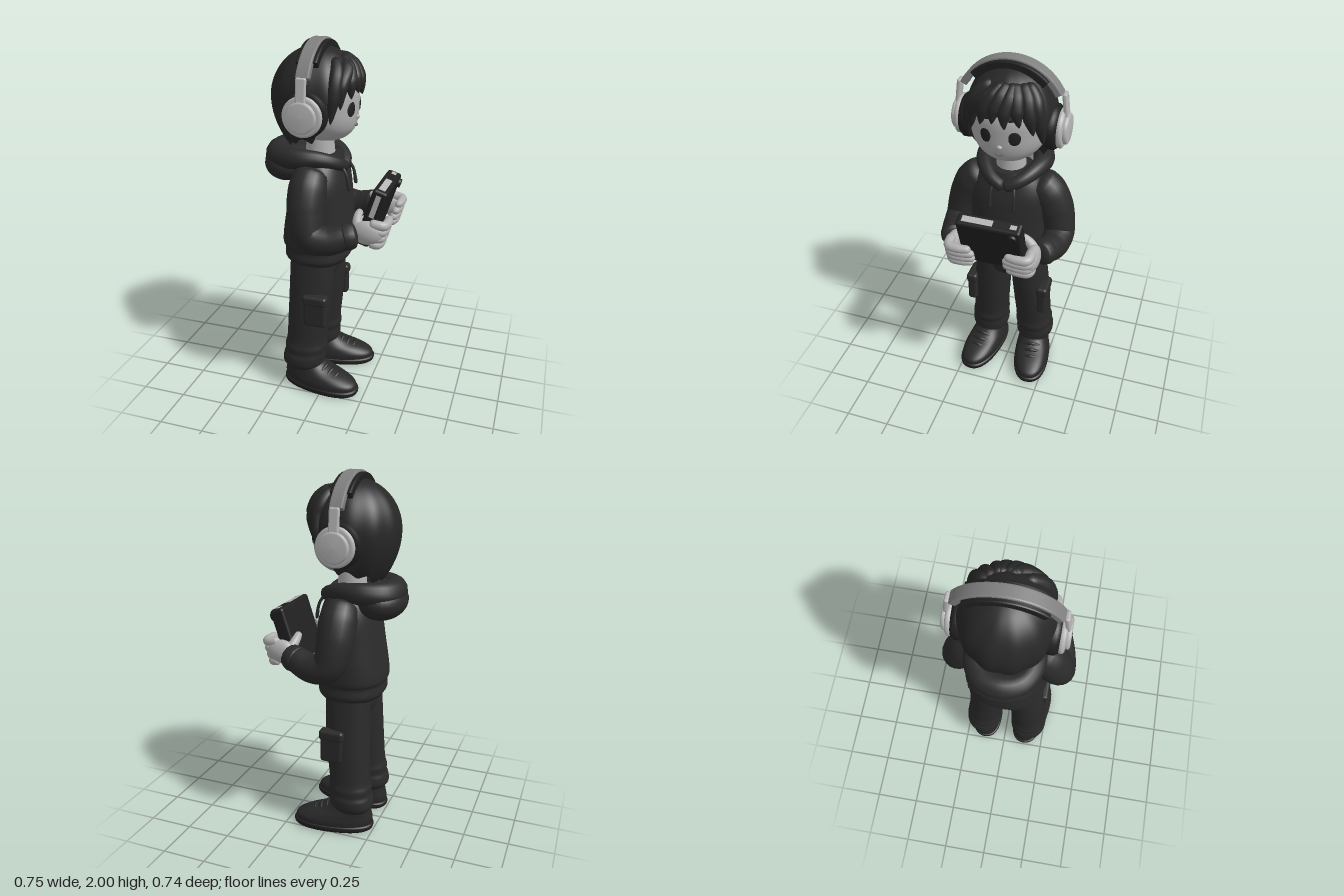
import * as THREE from 'three';
import { mergeVertices } from 'three/addons/utils/BufferGeometryUtils.js';
import { RoundedBoxGeometry } from 'three/addons/geometries/RoundedBoxGeometry.js';

const mat = (name, color) => Object.assign(new THREE.MeshStandardMaterial({ color }), { name });
const M = {
  skin: mat('skin', 0xb0b0b0), hair: mat('hair', 0x272727), hoodie: mat('hoodie', 0x2b2b2b),
  pants: mat('trousers', 0x2a2a2a), shoe: mat('shoes', 0x282828), black: mat('black', 0x202020),
  shell: mat('headphoneShell', 0xb6b6b6), band: mat('headband', 0x808080), lips: mat('lips', 0x6a6a6a),
};
const V = (p) => new THREE.Vector3(...p);
const lerpList = (a, t) => {
  const k = Math.min(t * (a.length - 1), a.length - 1.0001), i = Math.floor(k);
  return a[i] + (a[i + 1] - a[i]) * (k - i);
};
const smooth = THREE.MathUtils.smoothstep;

// Closed skin over rings: point(t, angle) gives each vertex, bottom to top
function skinOver(point, rows, cols, bottom, top) {
  const pos = [], idx = [];
  for (let i = 0; i <= rows; i++)
    for (let j = 0; j < cols; j++) pos.push(...point(i / rows, (j / cols) * Math.PI * 2));
  for (let i = 0; i < rows; i++)
    for (let j = 0; j < cols; j++) {
      const a = i * cols + j, b = i * cols + (j + 1) % cols;
      idx.push(a, a + cols, b, b, a + cols, b + cols);
    }
  const n = pos.length / 3, last = rows * cols;
  pos.push(...bottom, ...top);
  for (let j = 0; j < cols; j++) {
    const k = (j + 1) % cols;
    idx.push(n, j, k, n + 1, last + k, last + j);
  }
  const g = new THREE.BufferGeometry();
  g.setAttribute('position', new THREE.Float32BufferAttribute(pos, 3));
  g.setIndex(idx);
  g.computeVertexNormals();
  return g;
}

// Rings of [y, centreX, radiusX, centreZ, radiusZ], smoothly joined
function loft(rings, power = 1) {
  const at = (t) => {
    const k = Math.min(t * (rings.length - 1), rings.length - 1.0001), i = Math.floor(k), f = k - i;
    const get = (j) => rings[Math.max(0, Math.min(rings.length - 1, j))];
    return rings[0].map((_, c) => {
      const [p, q, r, s] = [get(i - 1)[c], get(i)[c], get(i + 1)[c], get(i + 2)[c]];
      return q + 0.5 * f * (r - p + f * (2 * p - 5 * q + 4 * r - s + f * (3 * (q - r) + s - p)));
    });
  };
  const pw = (v) => Math.sign(v) * Math.abs(v) ** power;
  const [b, e] = [rings[0], rings[rings.length - 1]];
  return skinOver((t, a) => {
    const [y, cx, rx, cz, rz] = at(t);
    return [cx + rx * pw(Math.cos(a)), y, cz + rz * pw(Math.sin(a))];
  }, (rings.length - 1) * 5, 48, [b[1], b[0], b[3]], [e[1], e[0], e[3]]);
}

// Round-ended tube whose radius follows a list
function taper(points, radii, { n = 28, sides = 14, end = 0.12 } = {}) {
  const curve = new THREE.CatmullRomCurve3(points.map(V));
  let g = new THREE.TubeGeometry(curve, n, 1, sides);
  const p = g.attributes.position, v = new THREE.Vector3();
  for (let i = 0; i <= n; i++) {
    const t = i / n, c = curve.getPointAt(t), d = Math.max(0, 1 - t / end, 1 - (1 - t) / end);
    const r = Math.max(1e-4, lerpList(radii, t) * Math.sqrt(1 - d * d));
    for (let j = 0; j <= sides; j++) {
      const k = i * (sides + 1) + j;
      v.fromBufferAttribute(p, k).sub(c).multiplyScalar(r).add(c);
      p.setXYZ(k, v.x, v.y, v.z);
    }
  }
  g.deleteAttribute('uv');
  g.deleteAttribute('normal');
  g = mergeVertices(g, 1e-5);
  g.computeVertexNormals();
  return g;
}

// Arch over the head, extruded along x
function arch(rz, ry, thick, width, spread) {
  const s = new THREE.Shape();
  s.absellipse(0, 0, rz, ry, Math.PI / 2 - spread, Math.PI / 2 + spread, false);
  s.absellipse(0, 0, rz - thick, ry - thick, Math.PI / 2 + spread, Math.PI / 2 - spread, true);
  const g = new THREE.ExtrudeGeometry(s, { depth: width - 0.016, bevelSize: 0.006, bevelThickness: 0.008, bevelSegments: 2, curveSegments: 40 });
  return g.translate(0, 0, -(width - 0.016) / 2).rotateY(Math.PI / 2);
}

export function createModel() {
  const root = new THREE.Group();
  const add = (name, g, m, pos = [0, 0, 0], parent = root) => {
    const mesh = new THREE.Mesh(g, m);
    mesh.name = name;
    mesh.position.set(...pos);
    parent.add(mesh);
    return mesh;
  };
  const ball = (name, m, pos, size) => {
    const b = add(name, new THREE.SphereGeometry(1, 32, 20), m, pos);
    b.scale.set(...size);
    return b;
  };

  // Head and neck
  add('face', loft([[1.475, -0.03, 0.04, 0, 0.05], [1.49, -0.03, 0.1, 0, 0.1], [1.53, -0.03, 0.145, 0, 0.15],
    [1.58, -0.03, 0.164, 0, 0.184], [1.65, -0.03, 0.17, 0, 0.2], [1.75, -0.03, 0.168, 0, 0.2], [1.85, -0.03, 0.12, 0, 0.14]]), M.skin);
  add('neck', new THREE.CylinderGeometry(0.07, 0.085, 0.18, 28), M.skin, [-0.065, 1.43, 0]);
  ball('nose', M.skin, [0.139, 1.605, 0], [0.012, 0.012, 0.014]);
  add('mouth', taper([[0.131, 1.565, -0.022], [0.135, 1.558, 0], [0.131, 1.565, 0.022]], [0.004, 0.005, 0.004]), M.lips);

  // Hair cap with scalloped locks, short in front and long behind
  const hairRadius = (y) => y > 1.7 ? Math.sqrt(Math.max(0, 1 - ((y - 1.7) / 0.262) ** 2)) : 1 - 0.3 * ((1.7 - y) / 0.24) ** 2;
  add('hair', skinOver((t, a) => {
    const off = Math.abs(a > Math.PI ? a - Math.PI * 2 : a);
    const low = 1.77 - 0.27 * smooth(off, 0.85, 1.5) - 0.05 * smooth(off, 1.7, 2.8) + 0.014 * Math.cos(11 * a);
    const y = low + (1.96 - low) * Math.sin(t * Math.PI / 2);
    const r = hairRadius(y) * (1 + 0.022 * Math.cos(11 * a + 3 * (y - 1.6)) * (1 - t));
    return [-0.07 + Math.cos(a) * r * (off > Math.PI / 2 ? 0.25 : 0.235), y, Math.sin(a) * r * 0.235];
  }, 30, 132, [-0.05, 1.68, 0], [-0.07, 1.961, 0]), M.hair);
  const onHair = (z, y, lift = 0) => -0.07 + lift + 0.235 * Math.sqrt(Math.max(0.02, hairRadius(y) ** 2 - (z / 0.235) ** 2));
  // Fringe: [root z, tip z, tip y]
  for (const [z0, z1, y1] of [[-0.02, 0.16, 1.67], [0, 0.1, 1.715], [-0.02, 0.035, 1.735], [-0.05, -0.03, 1.715],
    [-0.05, -0.1, 1.725], [-0.08, -0.16, 1.67], [0.06, 0.195, 1.6], [-0.1, -0.2, 1.6]]) {
    const zm = (z0 + z1) / 2, x1 = Math.max(onHair(z1, Math.max(y1, 1.7)), 0);
    add('fringeLock', taper([[onHair(z0, 1.91, -0.02), 1.91, z0], [onHair(zm, 1.85, -0.01), 1.85, zm],
      [onHair(z1 * 0.85, 1.79, -0.008), 1.79, z1 * 0.85], [x1 - 0.008, y1, z1]], [0.03, 0.038, 0.034, 0.006]), M.hair);
  }

  // Headphones
  add('headbandCushion', arch(0.278, 0.29, 0.03, 0.115, 0.75), M.black, [-0.07, 1.693, 0]);
  add('headband', arch(0.292, 0.301, 0.024, 0.072, 1.05), M.band, [-0.07, 1.693, 0]);

  // Torso, collar and hood
  add('hoodieBody', loft([[0.79, -0.075, 0.165, 0, 0.195], [0.82, -0.075, 0.183, 0, 0.213], [0.87, -0.075, 0.182, 0, 0.21],
    [0.9, -0.075, 0.193, 0, 0.222], [0.98, -0.07, 0.19, 0, 0.225], [1.1, -0.065, 0.175, 0, 0.222], [1.24, -0.06, 0.155, 0, 0.222],
    [1.33, -0.06, 0.13, 0, 0.185], [1.4, -0.06, 0.1, 0, 0.12]], 0.88), M.hoodie);
  ball('hoodBag', M.hoodie, [-0.235, 1.335, 0], [0.135, 0.105, 0.185]);
  add('hoodRim', taper([[0.075, 1.325, -0.005], [0.045, 1.365, 0.08], [-0.04, 1.395, 0.14], [-0.15, 1.395, 0.155], [-0.26, 1.385, 0.1],
    [-0.295, 1.385, 0], [-0.26, 1.385, -0.1], [-0.15, 1.395, -0.155], [-0.04, 1.395, -0.14], [0.045, 1.365, -0.08], [0.075, 1.325, 0.005]],
  [0.032, 0.037, 0.045, 0.058, 0.068, 0.07, 0.068, 0.058, 0.045, 0.037, 0.032], { n: 72, end: 0.02 }), M.hoodie);
  // Front pouch wrapped round the belly
  const pouch = new RoundedBoxGeometry(0.02, 0.15, 0.34, 5, 0.009);
  const pp = pouch.attributes.position;
  for (let i = 0; i < pp.count; i++) {
    const z = pp.getZ(i) * (1 - 1.6 * Math.max(-0.075, pp.getY(i)));
    pp.setXYZ(i, pp.getX(i) + 0.192 * (Math.sqrt(1 - (z / 0.24) ** 2) - 1), pp.getY(i), z);
  }
  pouch.computeVertexNormals();
  add('pouchPocket', pouch, M.hoodie, [0.118, 0.965, 0]);

  // Trousers seat
  add('trouserSeat', loft([[0.67, -0.08, 0.08, 0, 0.08], [0.71, -0.08, 0.118, 0, 0.16], [0.77, -0.08, 0.13, 0, 0.195], [0.85, -0.08, 0.13, 0, 0.195]], 0.9), M.pants);

  for (const s of [1, -1]) {
    const side = s > 0 ? 'left' : 'right';
    const eye = ball(side + 'Eye', M.black, [0.126, 1.66, s * 0.075], [0.008, 0.04, 0.031]);
    eye.rotation.y = -s * 0.36;

    // Ear cups
    const disc = (name, m, r, h, z) => {
      const prof = [[0, -h / 2], [r * 0.94, -h / 2], [r, -h / 4], [r, h / 6], [r * 0.88, h * 0.42], [0, h / 2]];
      const g = new THREE.LatheGeometry(prof.map(([x, y]) => new THREE.Vector2(x, y)), 40).rotateX(s * Math.PI / 2);
      add(side + name, g, m, [-0.07, 1.65, s * z]);
    };
    disc('EarCushion', M.black, 0.118, 0.07, 0.225);
    disc('EarCup', M.shell, 0.104, 0.035, 0.268);
    disc('EarCap', M.shell, 0.08, 0.03, 0.292);
    const stem = add(side + 'BandArm', new RoundedBoxGeometry(0.055, 0.16, 0.024, 3, 0.01), M.shell, [-0.07, 1.765, s * 0.28]);
    stem.rotation.x = -s * 0.12;

    // Drawstring
    add(side + 'Drawstring', taper([[0.065, 1.355, s * 0.055], [0.1, 1.3, s * 0.065], [0.118, 1.21, s * 0.065]], [0.009, 0.008, 0.011]), M.hoodie);

    // Sleeve and cuff
    add(side + 'Sleeve', taper([[-0.06, 1.34, s * 0.14], [-0.065, 1.25, s * 0.215], [-0.06, 1.12, s * 0.265], [-0.03, 1.025, s * 0.284],
      [0.06, 1.005, s * 0.28], [0.15, 1.03, s * 0.258], [0.22, 1.045, s * 0.232]], [0.085, 0.102, 0.1, 0.09, 0.082, 0.073, 0.062], { n: 40, sides: 20, end: 0.07 }), M.hoodie);
    add(side + 'Cuff', taper([[0.14, 1.025, s * 0.262], [0.18, 1.038, s * 0.25], [0.215, 1.045, s * 0.235]], [0.076, 0.072, 0.062], { end: 0.3 }), M.hoodie);

    // Hand wrapped round the tablet edge
    ball(side + 'Palm', M.skin, [0.262, 1.052, s * 0.218], [0.085, 0.066, 0.04]);
    for (let f = 0; f < 4; f++) {
      const y = 0.99 + f * 0.036, x = 0.315 + (y - 1) * 0.3;
      add(side + 'Finger', taper([[0.27, y + 0.01, s * 0.22], [x, y, s * 0.212], [x + 0.012, y, s * 0.16], [x + 0.002, y, s * (f % 3 ? 0.075 : 0.09)]],
        [0.026, 0.026, 0.024, 0.02]), M.skin);
    }
    add(side + 'Thumb', taper([[0.24, 1.05, s * 0.225], [0.205, 1.085, s * 0.2], [0.195, 1.12, s * 0.155], [0.2, 1.135, s * 0.12]], [0.03, 0.028, 0.024, 0.018]), M.skin);

    // Trouser leg with gathered hem
    add(side + 'TrouserLeg', loft([[0.13, -0.125, 0.1, s * 0.145, 0.09], [0.16, -0.125, 0.122, s * 0.145, 0.108], [0.205, -0.12, 0.122, s * 0.145, 0.112],
      [0.235, -0.115, 0.118, s * 0.143, 0.106], [0.27, -0.112, 0.122, s * 0.14, 0.11], [0.32, -0.108, 0.115, s * 0.136, 0.104],
      [0.48, -0.095, 0.12, s * 0.126, 0.106], [0.65, -0.085, 0.125, s * 0.112, 0.104], [0.82, -0.08, 0.125, s * 0.1, 0.095]], 0.92), M.pants);
    add(side + 'CargoPocket', new RoundedBoxGeometry(0.13, 0.17, 0.055, 4, 0.018), M.pants, [-0.03, 0.525, s * 0.215]);
    add(side + 'PocketFlap', new RoundedBoxGeometry(0.142, 0.06, 0.065, 4, 0.018), M.pants, [-0.03, 0.6, s * 0.215]);

    // Shoe, toes turned out
    const shoe = new THREE.Group();
    shoe.name = side + 'Shoe';
    shoe.position.set(-0.12, 0, s * 0.14);
    shoe.rotation.y = -s * 0.16;
    root.add(shoe);
    add('sole', loft([[0, 0.105, 0.215, 0, 0.096], [0.012, 0.105, 0.23, 0, 0.106], [0.032, 0.105, 0.232, 0, 0.108], [0.04, 0.105, 0.222, 0, 0.1]], 0.85), M.black, [0, 0, 0], shoe);
    add('upper', loft([[0.03, 0.105, 0.222, 0, 0.102], [0.065, 0.1, 0.222, 0, 0.104], [0.095, 0.075, 0.192, 0, 0.098],
      [0.125, 0.035, 0.145, 0, 0.09], [0.155, 0.01, 0.118, 0, 0.084], [0.19, 0, 0.1, 0, 0.078]], 0.9), M.shoe, [0, 0, 0], shoe);
    for (let i = 0; i < 3; i++) {
      const x = 0.142 + i * 0.036, y = 0.148 - i * 0.018;
      add('lace', taper([[x - 0.012, y - 0.02, -0.055], [x, y, 0], [x - 0.012, y - 0.02, 0.055]], [0.009, 0.01, 0.009]), M.shoe, [0, 0, 0], shoe);
    }
  }

  // Tablet, top leaning away from the chest
  const tablet = new THREE.Group();
  tablet.name = 'tablet';
  tablet.position.set(0.264, 1.11, 0);
  tablet.rotation.z = -0.31;
  root.add(tablet);
  add('tabletBody', new RoundedBoxGeometry(0.08, 0.33, 0.345, 4, 0.016), M.black, [0, 0, 0], tablet);
  add('cameraLens', new THREE.CylinderGeometry(0.024, 0.026, 0.02, 24).rotateZ(-Math.PI / 2), M.black, [0.044, 0.125, -0.13], tablet);
  add('topStrip', new THREE.BoxGeometry(0.036, 0.006, 0.165), M.shell, [0, 0.164, 0.062], tablet);
  add('topPatch', new THREE.BoxGeometry(0.026, 0.006, 0.035), M.shell, [0, 0.164, -0.13], tablet);
  add('sideStrip', new THREE.BoxGeometry(0.028, 0.13, 0.006), M.shell, [0, 0.075, 0.171], tablet);

  return root;
}
